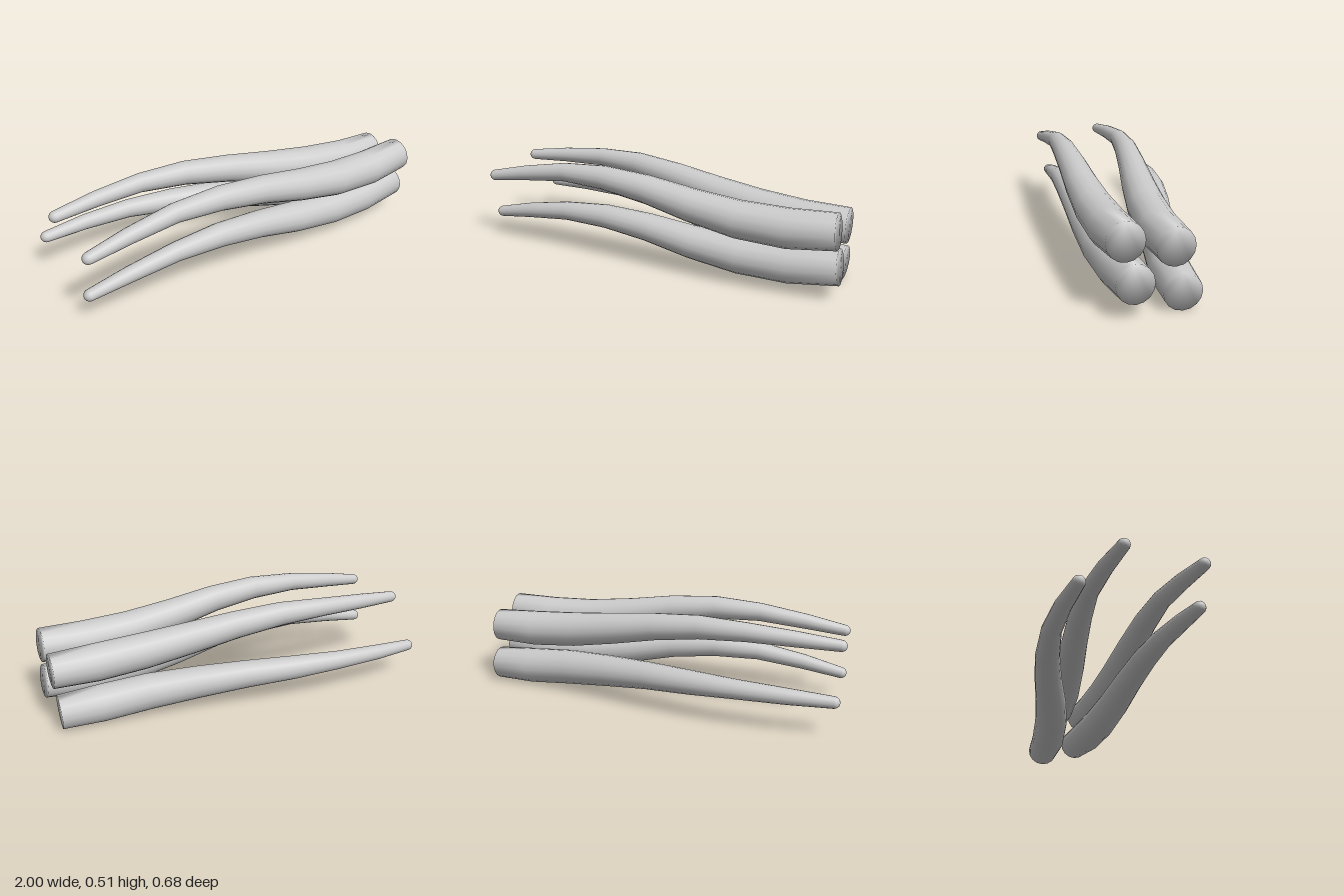
import * as THREE from 'three';

const SIDES = 16;
// stations along the length and the thickness shared by all tentacles
const STATIONS = [-0.75, -0.5, -0.25, 0, 0.25, 0.5, 0.75];
const RADII = [0.03, 0.041, 0.05, 0.063, 0.073, 0.085, 0.095, 0.098, 0.089];

// centre heights and depths from tip to root, with the x of both ends
const TENTACLES = [
  { name: 'upperFrontTentacle', tip: -0.955, root: 0.985,
    y: [0.376, 0.412, 0.447, 0.452, 0.427, 0.38, 0.345, 0.338, 0.357],
    z: [0.3, 0.282, 0.266, 0.265, 0.262, 0.255, 0.245, 0.232, 0.215] },
  { name: 'lowerFrontTentacle', tip: -0.955, root: 0.995,
    y: [0.148, 0.188, 0.225, 0.234, 0.214, 0.173, 0.147, 0.143, 0.167],
    z: [0.26, 0.262, 0.26, 0.254, 0.245, 0.23, 0.213, 0.19, 0.175] },
  { name: 'upperBackTentacle', tip: -0.968, root: 0.98,
    y: [0.406, 0.425, 0.44, 0.437, 0.408, 0.366, 0.33, 0.31, 0.313],
    z: [-0.077, -0.1, -0.112, -0.093, -0.065, -0.035, -0.01, 0.003, -0.005] },
  { name: 'lowerBackTentacle', tip: -0.968, root: 0.965,
    y: [0.186, 0.195, 0.2, 0.194, 0.182, 0.156, 0.13, 0.102, 0.095],
    z: [-0.277, -0.295, -0.295, -0.262, -0.207, -0.14, -0.085, -0.053, -0.045] },
];

function tentacleGeometry({ tip, root, y, z }) {
  const centres = [tip, ...STATIONS, root].map((x, i) => new THREE.Vector3(x, y[i], z[i]));
  const last = centres.length - 1;
  const rings = centres.map((c, i) => ({
    c, r: RADII[i],
    t: centres[Math.min(i + 1, last)].clone().sub(centres[Math.max(i - 1, 0)]).normalize(),
  }));

  // rounded tip
  const { c: c0, r: r0, t: t0 } = rings[0];
  for (const a of [0.35, 0.7, 1.05, 1.35]) {
    rings.unshift({ c: c0.clone().addScaledVector(t0, -r0 * Math.sin(a)), r: r0 * Math.cos(a), t: t0 });
  }

  const positions = [], index = [];
  const up = new THREE.Vector3(0, 1, 0);
  for (const { c, r, t } of rings) {
    const b = t.clone().cross(up).normalize();
    const n = b.clone().cross(t);
    for (let j = 0; j < SIDES; j++) {
      const a = (j / SIDES) * Math.PI * 2;
      const p = c.clone().addScaledVector(n, r * Math.cos(a)).addScaledVector(b, r * Math.sin(a));
      positions.push(p.x, p.y, p.z);
    }
  }
  // skin between neighbouring rings
  for (let i = 0; i < rings.length - 1; i++) {
    for (let j = 0; j < SIDES; j++) {
      const k = (j + 1) % SIDES;
      const a = i * SIDES + j, b = a + SIDES, c = i * SIDES + k, d = c + SIDES;
      index.push(a, c, b, c, d, b);
    }
  }
  // closed ends
  const end = (rings.length - 1) * SIDES;
  for (let j = 1; j < SIDES - 1; j++) {
    index.push(0, j + 1, j);
    index.push(end, end + j, end + j + 1);
  }

  const geometry = new THREE.BufferGeometry();
  geometry.setAttribute('position', new THREE.Float32BufferAttribute(positions, 3));
  geometry.setIndex(index);
  geometry.computeVertexNormals();
  return geometry;
}

export function createModel() {
  const group = new THREE.Group();
  group.name = 'tentacles';
  const material = new THREE.MeshStandardMaterial({ color: 0xcccccc });
  for (const spec of TENTACLES) {
    const mesh = new THREE.Mesh(tentacleGeometry(spec), material);
    mesh.name = spec.name;
    group.add(mesh);
  }
  return group;
}
